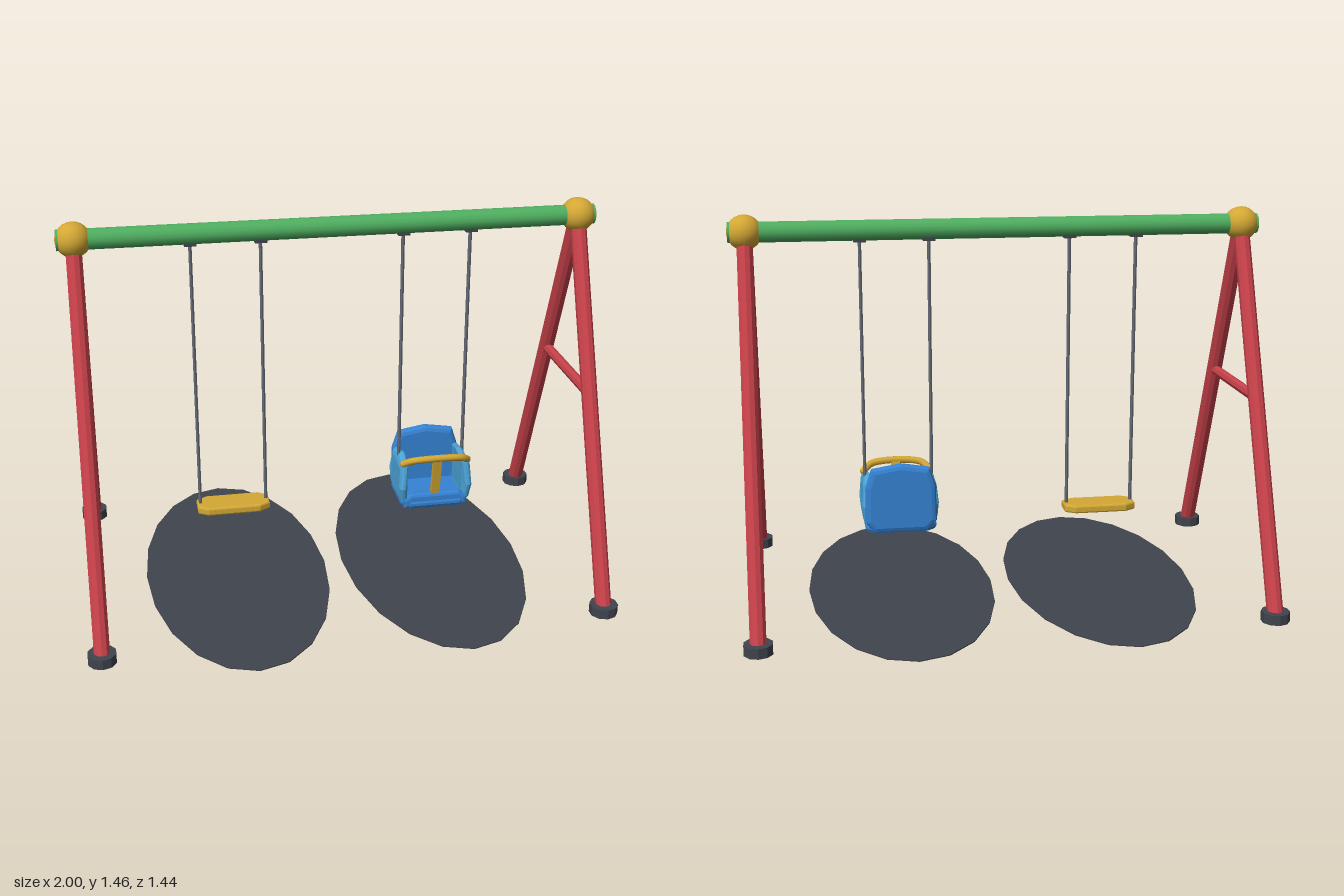
import * as THREE from 'three';

const mat = (name, color) => Object.assign(new THREE.MeshStandardMaterial({ color }), { name });
const V = (x, y, z) => new THREE.Vector3(x, y, z);

// faceted copy of a geometry
function facet(geo) {
  const g = geo.index ? geo.toNonIndexed() : geo;
  g.computeVertexNormals();
  return g;
}

// straight bar between two points
function rod(a, b, r, sides, flat = true) {
  const d = b.clone().sub(a);
  let g = new THREE.CylinderGeometry(r, r, d.length(), sides);
  if (flat) g = facet(g);
  g.applyQuaternion(new THREE.Quaternion().setFromUnitVectors(V(0, 1, 0), d.clone().normalize()));
  const m = a.clone().add(b).multiplyScalar(0.5);
  return g.translate(m.x, m.y, m.z);
}

// bevelled plate from an outline; the outline is the full silhouette, centred in depth
function plate(points, depth, bevel, bevelDepth) {
  const shape = new THREE.Shape(points.map(([x, y]) => new THREE.Vector2(x, y)));
  const g = new THREE.ExtrudeGeometry(shape, {
    depth: depth - 2 * bevelDepth, bevelEnabled: true, bevelSize: bevel,
    bevelOffset: -bevel, bevelThickness: bevelDepth, bevelSegments: 2,
  });
  return g.translate(0, 0, bevelDepth - depth / 2);
}

export function createModel() {
  const root = new THREE.Group();
  root.name = 'swingSet';
  const red = mat('frameRed', 0xc8414a);
  const green = mat('beamGreen', 0x4fae60);
  const yellow = mat('yellow', 0xd4a835);
  const dark = mat('rubberDark', 0x40444d);
  const steel = mat('ropeGrey', 0x646a74);
  const blue = mat('seatBlue', 0x3583d4);
  const light = mat('sideBlue', 0x4ca5da);

  const add = (parent, name, geo, material) => {
    const m = new THREE.Mesh(geo, material);
    m.name = name;
    parent.add(m);
    return m;
  };

  // top beam
  const beamY = 1.393;
  add(root, 'beam', rod(V(-0.9955, beamY, 0), V(0.9955, beamY, 0), 0.038, 16, false), green);

  // A-frames
  for (const s of [-1, 1]) {
    const frame = new THREE.Group();
    frame.name = s > 0 ? 'leftFrame' : 'rightFrame';
    root.add(frame);
    const x = s * 0.935;
    add(frame, 'cornerBall', new THREE.SphereGeometry(0.065, 16, 12).rotateZ(Math.PI / 2).translate(x, beamY, 0), yellow);
    for (const f of [-1, 1]) {
      add(frame, 'leg', rod(V(x, beamY, 0), V(x, 0.02, f * 0.565), 0.03, 10), red);
      add(frame, 'foot', facet(new THREE.CylinderGeometry(0.053, 0.053, 0.038, 10)).translate(x, 0.019, f * 0.565), dark);
    }
    add(frame, 'crossbar', rod(V(x, 0.768, -0.255), V(x, 0.768, 0.255), 0.02, 8), red);
  }

  // ground mats
  for (const x of [-0.39, 0.39]) {
    const g = new THREE.CylinderGeometry(1, 1, 0.004, 20).scale(0.355, 1, 0.722);
    add(root, 'groundMat', facet(g).translate(x, 0.002, 0), dark);
  }

  // ropes and their brackets under the beam
  const hang = (group, bottom) => {
    for (const x of [-0.128, 0.128]) {
      add(group, 'rope', rod(V(x, bottom, 0), V(x, 1.365, 0), 0.007, 6), steel);
      add(group, 'bracket', new THREE.BoxGeometry(0.045, 0.012, 0.045).translate(x, 1.357, 0), dark);
    }
  };

  // flat swing
  const flat = new THREE.Group();
  flat.name = 'flatSwing';
  flat.position.x = -0.395;
  root.add(flat);
  hang(flat, 0.3);
  const board = [[-0.14, -0.034], [-0.1, -0.058], [0.1, -0.058], [0.14, -0.034],
    [0.14, 0.034], [0.1, 0.058], [-0.1, 0.058], [-0.14, 0.034]];
  add(flat, 'board', plate(board, 0.032, 0.008, 0.007).rotateX(-Math.PI / 2).translate(0, 0.294, 0), yellow);

  // bucket swing
  const bucket = new THREE.Group();
  bucket.name = 'bucketSwing';
  bucket.position.x = 0.392;
  root.add(bucket);
  hang(bucket, 0.44);

  // seat base and front lip
  const base = [[-0.135, -0.07], [-0.1, -0.107], [0.1, -0.107], [0.135, -0.07],
    [0.135, 0.09], [0.1, 0.12], [-0.1, 0.12], [-0.135, 0.09]];
  add(bucket, 'seatBase', plate(base, 0.046, 0.022, 0.018).rotateX(-Math.PI / 2).translate(0, 0.278, 0), blue);
  const lip = [[-0.125, 0.262], [0.125, 0.262], [0.13, 0.3], [0.095, 0.32], [-0.095, 0.32], [-0.13, 0.3]];
  add(bucket, 'frontLip', plate(lip, 0.035, 0.012, 0.012).translate(0, 0, 0.086), blue);

  // backrest, leaning slightly back
  const back = [[-0.1, 0.262], [0.1, 0.262], [0.135, 0.3], [0.132, 0.44], [0.11, 0.508],
    [0, 0.526], [-0.11, 0.508], [-0.132, 0.44], [-0.135, 0.3]];
  add(bucket, 'backrest', plate(back, 0.046, 0.018, 0.016).translate(0, 0, -0.1), blue);

  // bulging side panels
  const side = [[-0.085, 0.29], [0, 0.275], [0.095, 0.286], [0.112, 0.35], [0.098, 0.442],
    [0.005, 0.465], [-0.082, 0.445], [-0.1, 0.36]];
  for (const s of [-1, 1]) {
    const g = plate(side, 0.032, 0.02, 0.011).rotateY(-Math.PI / 2);
    const p = g.attributes.position;
    for (let i = 0; i < p.count; i++) {
      const k = (p.getY(i) - 0.36) / 0.1;
      p.setX(i, p.getX(i) + s * (0.13 - 0.014 * k * k));
    }
    add(bucket, 'sidePanel', facet(g), light);
  }

  // safety bar with centre post
  const path = new THREE.CatmullRomCurve3([V(-0.128, 0.45, 0.085), V(-0.1, 0.47, 0.108),
    V(-0.05, 0.478, 0.118), V(0.05, 0.478, 0.118), V(0.1, 0.47, 0.108), V(0.128, 0.45, 0.085)]);
  add(bucket, 'safetyBar', new THREE.TubeGeometry(path, 20, 0.014, 8), yellow);
  for (const s of [-1, 1]) {
    add(bucket, 'barEnd', new THREE.SphereGeometry(0.014, 8, 6).translate(s * 0.128, 0.45, 0.085), yellow);
  }
  const post = new THREE.BoxGeometry(0.034, 0.18, 0.018).rotateX(0.19).translate(0, 0.392, 0.1);
  add(bucket, 'centrePost', post, yellow);

  return root;
}
